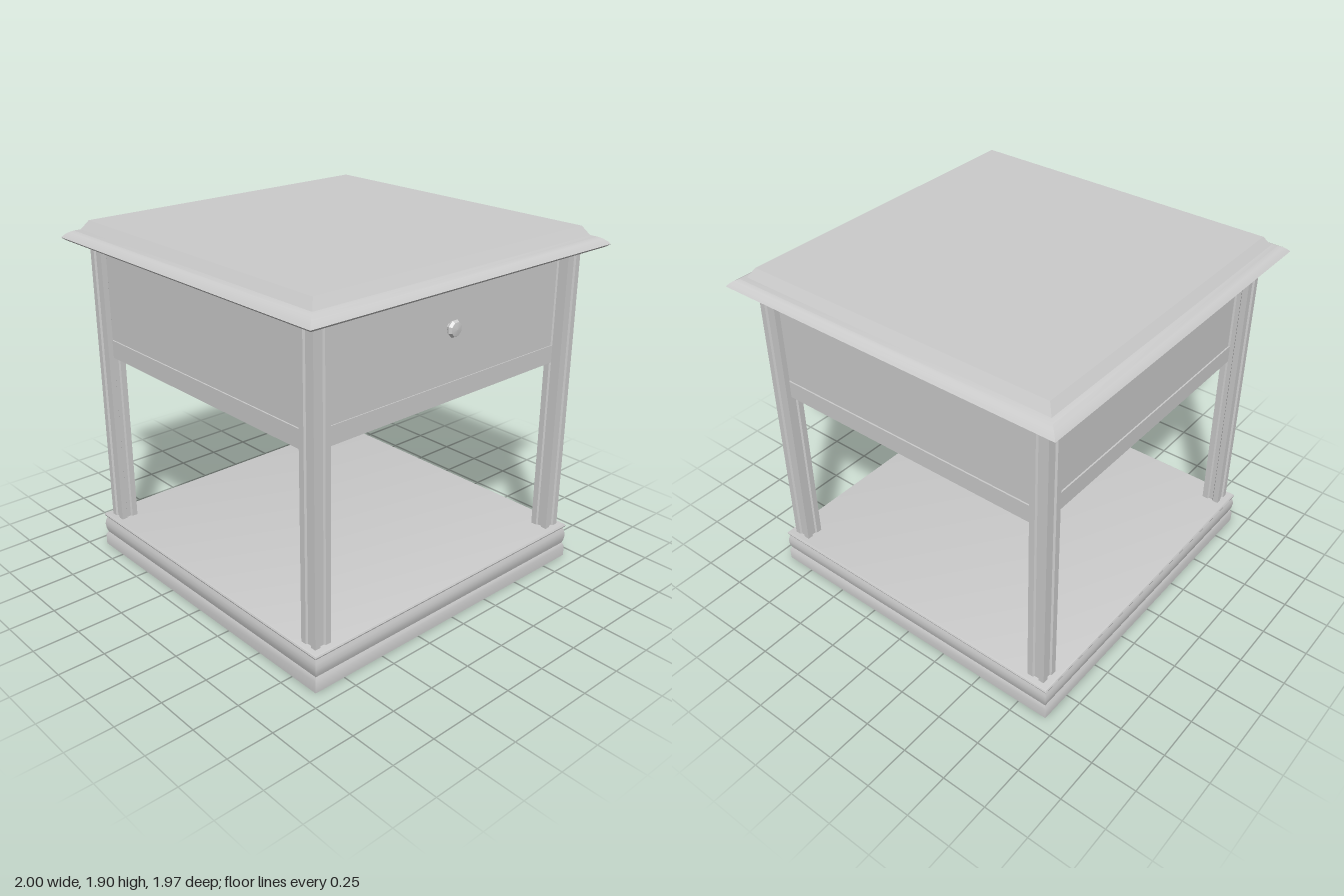
import * as THREE from 'three';
import { toCreasedNormals } from 'three/addons/utils/BufferGeometryUtils.js';

const material = new THREE.MeshStandardMaterial({ color: 0xcccccc });

function add(parent, name, geometry, x = 0, y = 0, z = 0) {
  const mesh = new THREE.Mesh(geometry, material);
  mesh.name = name;
  mesh.position.set(x, y, z);
  parent.add(mesh);
  return mesh;
}

// Rectangular slab whose mitred edge follows a profile of [inset, y], bottom to top
function mouldedSlab(halfX, halfZ, profile) {
  const positions = [];
  const index = [];
  for (const [inset, y] of profile) {
    const x = halfX - inset, z = halfZ - inset;
    positions.push(-x, y, z, x, y, z, x, y, -z, -x, y, -z);
  }
  for (let i = 0; i < profile.length - 1; i++) {
    for (let j = 0; j < 4; j++) {
      const a = i * 4 + j, b = i * 4 + (j + 1) % 4;
      index.push(a, b, b + 4, a, b + 4, a + 4);
    }
  }
  const t = (profile.length - 1) * 4;
  index.push(0, 2, 1, 0, 3, 2, t, t + 1, t + 2, t, t + 2, t + 3);
  const geometry = new THREE.BufferGeometry();
  geometry.setAttribute('position', new THREE.Float32BufferAttribute(positions, 3));
  geometry.setIndex(index);
  return toCreasedNormals(geometry, 0.5);
}

// Square post with a shallow groove down each face
function legGeometry(width, depth, height) {
  const side = [[-0.5, -0.5], [-0.18, -0.5], [-0.12, -0.4], [0.12, -0.4], [0.18, -0.5]];
  const points = [];
  for (let k = 0; k < 4; k++) {
    for (const [u, v] of side) {
      const p = new THREE.Vector2(u, v).rotateAround(new THREE.Vector2(), k * Math.PI / 2);
      points.push(new THREE.Vector2(p.x * width, p.y * depth));
    }
  }
  const geometry = new THREE.ExtrudeGeometry(new THREE.Shape(points), { depth: height, bevelEnabled: false });
  return geometry.rotateX(-Math.PI / 2);
}

export function createModel() {
  const table = new THREE.Group();
  table.name = 'sideTable';

  // Plinth with a bulging band and a thin rounded lip
  add(table, 'base', mouldedSlab(0.93, 0.92, [
    [0, 0], [0, 0.06], [0.01, 0.08], [0.004, 0.1], [0, 0.128],
    [0.004, 0.155], [0.012, 0.178], [0.003, 0.182], [0, 0.19], [0.004, 0.198], [0.01, 0.2],
  ]));

  // Top with a rounded moulding below a bevelled edge
  add(table, 'top', mouldedSlab(1, 0.985, [
    [0.015, 1.795], [0, 1.808], [0.012, 1.822], [0.03, 1.836], [0.05, 1.845],
    [0.075, 1.851], [0.108, 1.9],
  ]));

  // Four legs
  const leg = legGeometry(0.097, 0.1, 1.6);
  for (const x of [-1, 1]) {
    for (const z of [-1, 1]) add(table, 'leg', leg, x * 0.8475, 0.198, z * 0.83);
  }

  // Drawer case and the slightly wider rail under it
  add(table, 'drawerCase', new THREE.BoxGeometry(1.72, 0.535, 1.62), 0, 1.53, 0);
  add(table, 'rail', new THREE.BoxGeometry(1.736, 0.097, 1.636), 0, 1.2185, 0);

  // Drawer front
  const drawer = new THREE.Group();
  drawer.name = 'drawer';
  table.add(drawer);
  add(drawer, 'drawerFront', new THREE.BoxGeometry(1.585, 0.51, 0.02), 0, 1.525, 0.808);

  // Eight-sided turned knob
  const knobProfile = [[0.02, 0], [0.02, 0.012], [0.04, 0.022], [0.045, 0.034], [0.036, 0.048], [0, 0.054]]
    .map(([r, y]) => new THREE.Vector2(r, y));
  const knob = new THREE.LatheGeometry(knobProfile, 8);
  knob.rotateY(Math.PI / 8).rotateX(Math.PI / 2);
  add(drawer, 'knob', toCreasedNormals(knob, 0.3), 0, 1.552, 0.816);

  return table;
}
